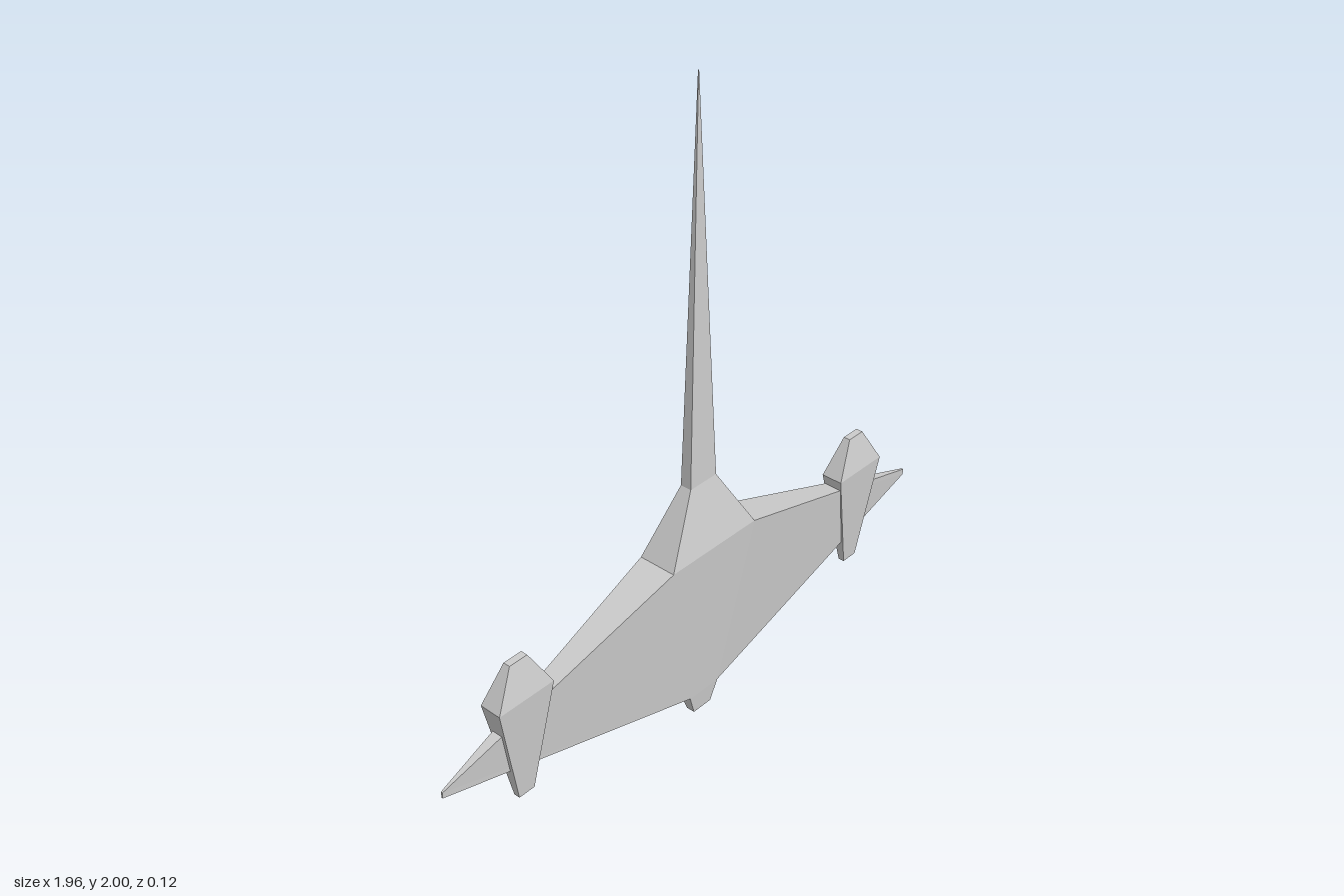
import * as THREE from 'three';

const material = new THREE.MeshStandardMaterial({ color: 0xcccccc, flatShading: true });

// Closed faceted skin through four-cornered rings (counterclockwise seen from the last ring)
function loft(name, rings) {
  const pos = [];
  const quad = (a, b, c, d) => pos.push(...a, ...b, ...c, ...a, ...c, ...d);
  for (let r = 0; r < rings.length - 1; r++) {
    for (let i = 0; i < 4; i++) {
      const j = (i + 1) % 4;
      quad(rings[r][i], rings[r][j], rings[r + 1][j], rings[r + 1][i]);
    }
  }
  quad(...[...rings[0]].reverse());
  quad(...rings[rings.length - 1]);
  const geometry = new THREE.BufferGeometry();
  geometry.setAttribute('position', new THREE.Float32BufferAttribute(pos, 3));
  geometry.computeVertexNormals();
  const mesh = new THREE.Mesh(geometry, material);
  mesh.name = name;
  return mesh;
}

// Horizontal rectangle: height, half width, half depth, centre x
const level = (y, w, d, x = 0) => [[x - w, y, d], [x + w, y, d], [x + w, y, -d], [x - w, y, -d]];

// Mirror rings across x = 0, keeping the faces outward
const mirror = rings => rings.map(ring => ring.map(([x, y, z]) => [-x, y, z]).reverse());

export function createModel() {
  const model = new THREE.Group();
  model.name = 'spaceship';

  // Central hull: blunt tail, wide shoulder, narrow neck
  model.add(loft('hull', [
    level(0, 0.036, 0.014),
    level(0.07, 0.06, 0.021),
    level(0.61, 0.17, 0.061),
    level(0.81, 0.052, 0.018),
  ]));

  // Long needle nose
  model.add(loft('noseSpike', [level(0.81, 0.052, 0.018), level(2, 0.001, 0.001)]));

  // Tapered wings, thicker along the upper edge
  const wing = [
    [[0.06, 0.07, 0.021], [0.06, 0.07, -0.021], [0.17, 0.61, -0.061], [0.17, 0.61, 0.061]],
    [[0.98, 0.328, 0.002], [0.98, 0.328, -0.002], [0.98, 0.348, -0.003], [0.98, 0.348, 0.003]],
  ];

  // Faceted pods across the wings
  const pod = [
    level(0.155, 0.028, 0.01, 0.703),
    level(0.5, 0.097, 0.035, 0.703),
    level(0.615, 0.031, 0.011, 0.703),
  ];

  for (const [name, rings] of [['Wing', wing], ['Pod', pod]]) {
    model.add(loft('left' + name, rings), loft('right' + name, mirror(rings)));
  }
  return model;
}
